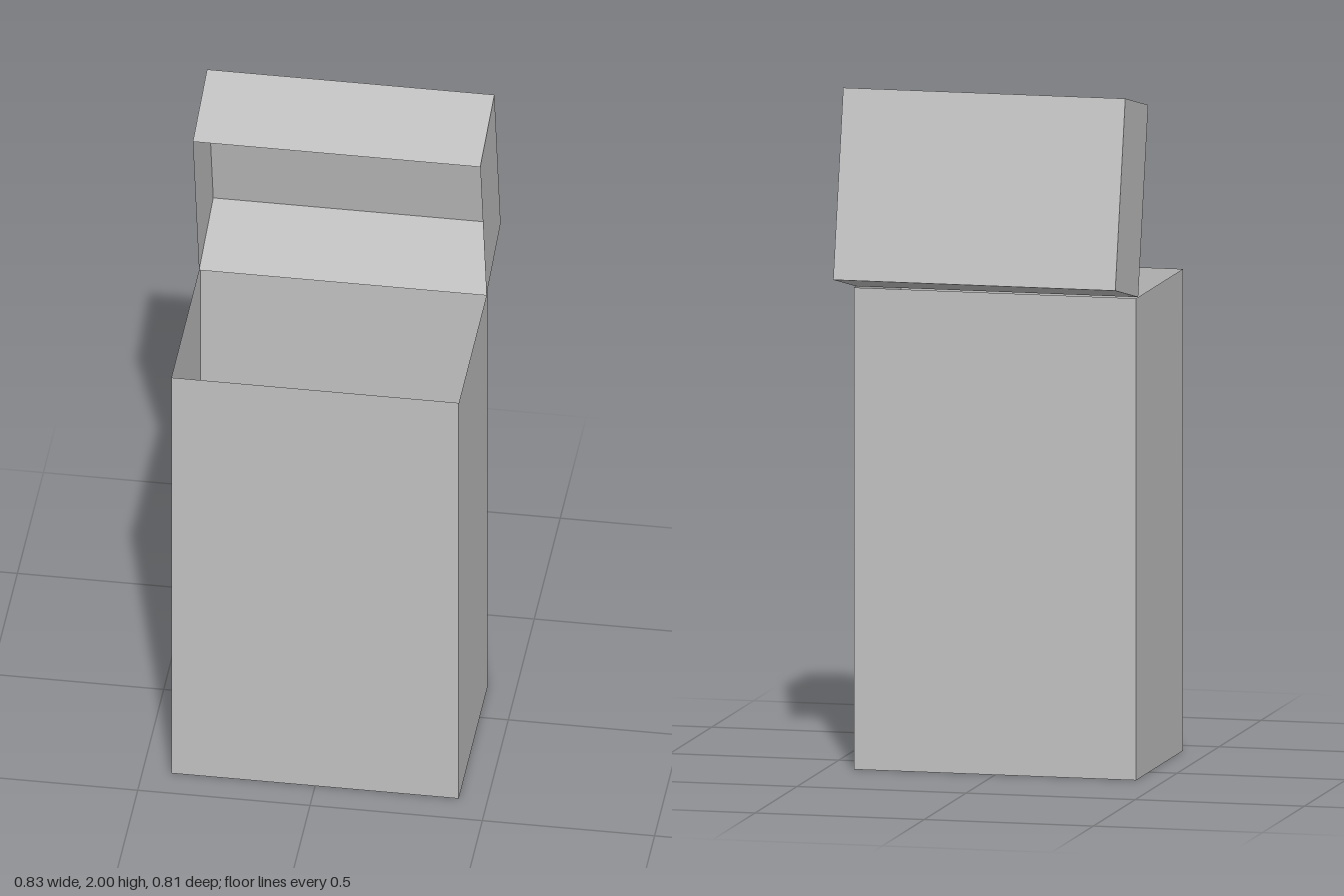
import * as THREE from 'three';

const WIDTH = 0.834;
const FACE = { top: 2, front: 4 }; // side order used by BoxGeometry

// Thin-walled box with one side left out
function openBox(width, height, depth, openFace) {
  const geometry = new THREE.BoxGeometry(width, height, depth);
  const index = Array.from(geometry.index.array);
  index.splice(openFace * 6, 6);
  geometry.setIndex(index);
  geometry.clearGroups();
  return geometry;
}

export function createModel() {
  const model = new THREE.Group();
  model.name = 'flipTopBox';

  const card = new THREE.MeshStandardMaterial({ color: 0xc0c0c0, side: THREE.DoubleSide });
  card.name = 'grey card';

  // Tall body, open at the top
  const bodyHeight = 1.4, bodyDepth = 0.558;
  const body = new THREE.Mesh(openBox(WIDTH, bodyHeight, bodyDepth, FACE.top), card);
  body.name = 'body';
  body.position.set(0, bodyHeight / 2, 0.403 - bodyDepth / 2);
  model.add(body);

  // Lid swung back on its hinge, its open side facing forward
  const lidHeight = 0.553, lidDepth = 0.28;
  const lidGeometry = openBox(WIDTH, lidHeight, lidDepth, FACE.front);
  lidGeometry.translate(0, lidHeight / 2, -lidDepth / 2);
  const lid = new THREE.Mesh(lidGeometry, card);
  lid.name = 'lid';
  lid.position.set(0, bodyHeight, -0.13);
  lid.rotation.x = 0.218;
  model.add(lid);

  return model;
}
